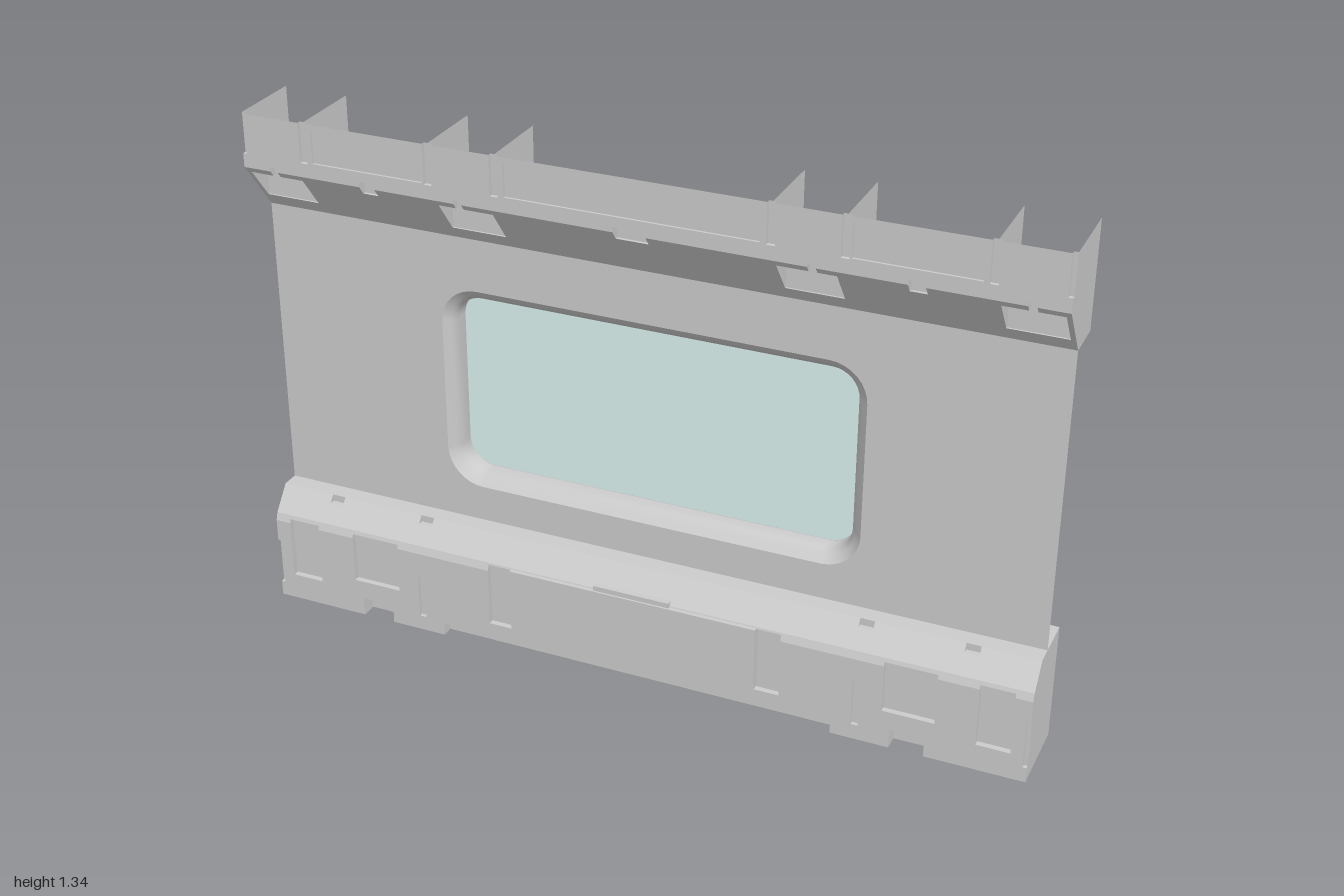
import * as THREE from 'three';

const grey = new THREE.MeshStandardMaterial({ color: 0xcccccc, side: THREE.DoubleSide });
const glassMat = new THREE.MeshStandardMaterial({ color: 0xdcf2ee, side: THREE.DoubleSide });

function add(parent, name, geometry, material = grey) {
  const mesh = new THREE.Mesh(geometry, material);
  mesh.name = name;
  parent.add(mesh);
  return mesh;
}

function fromTriangles(pos, index) {
  const g = new THREE.BufferGeometry();
  g.setAttribute('position', new THREE.Float32BufferAttribute(pos, 3));
  if (index) g.setIndex(index);
  g.computeVertexNormals();
  return g;
}

// Sheet following a [y, z] profile, with rectangular steps [x0, x1, y0, y1, z].
// Later steps override earlier ones; side walls join unequal neighbours.
function steppedSheet(profile, steps) {
  const sorted = (a) => [...new Set(a.map((v) => +v.toFixed(4)))].sort((p, q) => p - q);
  const xs = sorted([-1, 1, ...steps.flatMap((s) => [s[0], s[1]])]);
  const ys = sorted([...profile.map((p) => p[0]), ...steps.flatMap((s) => [s[2], s[3]])]);
  const base = (y) => {
    for (let i = 1; i < profile.length; i++) {
      const [y0, z0] = profile[i - 1], [y1, z1] = profile[i];
      if (y <= y1) return z0 + (z1 - z0) * (y - y0) / (y1 - y0);
    }
    return profile.at(-1)[1];
  };
  const depth = (i, j, y) => {
    const cx = (xs[i] + xs[i + 1]) / 2, cy = (ys[j] + ys[j + 1]) / 2;
    const s = steps.findLast((t) => cx > t[0] && cx < t[1] && cy > t[2] && cy < t[3]);
    return s ? s[4] : base(y);
  };
  const pos = [];
  const quad = (a, b, c, d) => pos.push(...a, ...b, ...c, ...a, ...c, ...d);
  for (let i = 0; i < xs.length - 1; i++) {
    for (let j = 0; j < ys.length - 1; j++) {
      const [x0, x1, y0, y1] = [xs[i], xs[i + 1], ys[j], ys[j + 1]];
      const lo = depth(i, j, y0), hi = depth(i, j, y1);
      quad([x0, y0, lo], [x1, y0, lo], [x1, y1, hi], [x0, y1, hi]);
      if (i < xs.length - 2) {
        const lo2 = depth(i + 1, j, y0), hi2 = depth(i + 1, j, y1);
        if (Math.abs(lo - lo2) + Math.abs(hi - hi2) > 1e-4)
          quad([x1, y0, lo], [x1, y0, lo2], [x1, y1, hi2], [x1, y1, hi]);
      }
      if (j < ys.length - 2) {
        const up = depth(i, j + 1, y1);
        if (Math.abs(up - hi) > 1e-4)
          quad([x0, y1, hi], [x1, y1, hi], [x1, y1, up], [x0, y1, up]);
      }
    }
  }
  return fromTriangles(pos);
}

// Steps given as centre x and half width, mirrored left and right
const mirrored = (cx, hw, y0, y1, z) =>
  [1, -1].map((s) => [s * cx - hw, s * cx + hw, y0, y1, z]);

// Thin plate across the wall from a [z, y] outline
function rib(parent, name, x, outline) {
  const shape = new THREE.Shape(outline.map(([z, y]) => new THREE.Vector2(-z, y)));
  const plate = add(parent, name, new THREE.ShapeGeometry(shape));
  plate.rotation.y = Math.PI / 2;
  plate.position.x = x;
}

function ledge(parent, name, y, z0, z1) {
  const g = new THREE.PlaneGeometry(2, z1 - z0).rotateX(-Math.PI / 2);
  add(parent, name, g.translate(0, y, (z0 + z1) / 2));
}

// Rounded rectangle around the window centre
const windowY = 0.667;
function ring(hw, hh, r, n = 8) {
  const pts = [];
  [[1, 1], [-1, 1], [-1, -1], [1, -1]].forEach(([sx, sy], c) => {
    for (let k = 0; k <= n; k++) {
      const a = (c + k / n) * Math.PI / 2;
      pts.push(new THREE.Vector2(sx * (hw - r) + r * Math.cos(a),
        windowY + sy * (hh - r) + r * Math.sin(a)));
    }
  });
  return pts;
}

// Band through rings [halfWidth, halfHeight, radius, z], smooth along the band
function loft(rings) {
  const pos = [], index = [];
  rings.forEach(([w, h, r, z], k) => {
    const pts = ring(w, h, r), n = pts.length;
    pts.forEach((p, i) => {
      pos.push(p.x, p.y, z);
      if (k) {
        const a = (k - 1) * n + i, b = (k - 1) * n + (i + 1) % n;
        index.push(a, b, b + n, a, b + n, a + n);
      }
    });
  });
  return fromTriangles(pos, index);
}

export function createModel() {
  const model = new THREE.Group();
  model.name = 'wallPanel';

  // Wall with window opening
  const wall = new THREE.Shape([[-1, 0.305], [1, 0.305], [1, 1.07], [-1, 1.07]]
    .map(([x, y]) => new THREE.Vector2(x, y)));
  const flare = [0.54, 0.268, 0.095, 0];
  const front = [0.512, 0.239, 0.068, -0.028];
  const mid = [0.512, 0.239, 0.068, -0.065];
  const step = [0.495, 0.221, 0.052, -0.065];
  const back = [0.495, 0.221, 0.052, -0.105];
  wall.holes.push(new THREE.Path(ring(...flare.slice(0, 3)).reverse()));
  add(model, 'wall', new THREE.ShapeGeometry(wall));

  // Window surround and glass
  const win = new THREE.Group();
  win.name = 'window';
  model.add(win);
  add(win, 'windowFlare', loft([flare, [0.524, 0.252, 0.08, -0.015], front, mid]));
  add(win, 'windowStep', loft([mid, step]));
  add(win, 'windowRim', loft([step, back]));
  const pane = new THREE.ShapeGeometry(new THREE.Shape(ring(0.51, 0.237, 0.066)));
  add(win, 'glass', pane.translate(0, 0, -0.063), glassMat);

  // Upper trough: upright front, slanted underside, pockets and slots
  const upper = new THREE.Group();
  upper.name = 'upperTrough';
  model.add(upper);
  add(upper, 'upperFront', steppedSheet([[1.07, 0], [1.2, 0.1], [1.335, 0.1]], [
    ...mirrored(0.918, 0.07, 1.105, 1.185, 0.022),
    ...mirrored(0.415, 0.07, 1.105, 1.185, 0.022),
    ...mirrored(0.918, 0.01, 1.185, 1.21, 0.08),
    ...mirrored(0.43, 0.01, 1.185, 1.21, 0.08),
    ...mirrored(0.667, 0.02, 1.178, 1.213, 0.075),
    [-0.04, 0.04, 1.178, 1.213, 0.075],
    ...mirrored(0.665, 0.145, 1.238, 1.322, 0.094),
    [-0.31, 0.31, 1.238, 1.322, 0.094],
    ...[0.335, 0.505, 0.833].flatMap((x) => mirrored(x, 0.01, 1.235, 1.335, 0.09)),
    ...mirrored(0.995, 0.005, 1.235, 1.335, 0.09),
  ]));
  ledge(upper, 'upperFloor', 1.07, -0.105, 0);
  const upperRib = [[0.1, 1.2], [0.1, 1.235], [0.09, 1.235], [0.09, 1.335],
    [-0.105, 1.335], [-0.105, 1.07], [0, 1.07]];

  // Lower trough: recessed panels, central cover, notches along the foot
  const lower = new THREE.Group();
  lower.name = 'lowerTrough';
  model.add(lower);
  add(lower, 'lowerFront', steppedSheet([[0, 0.1], [0.225, 0.1], [0.245, 0.093], [0.305, 0.045]], [
    ...mirrored(0.917, 0.042, 0.07, 0.235, 0.085),
    ...mirrored(0.71, 0.065, 0.1, 0.235, 0.085),
    ...mirrored(0.71, 0.043, 0, 0.05, 0.06),
    [-0.52, 0.52, 0, 0.035, 0.07],
    ...mirrored(0.58, 0.009, 0.04, 0.165, 0.09),
    ...mirrored(0.995, 0.005, 0.04, 0.165, 0.09),
    ...mirrored(0.84, 0.018, 0.287, 0.305, 0.045),
    ...mirrored(0.583, 0.018, 0.287, 0.305, 0.045),
    [-0.388, 0.388, 0.07, 0.24, 0.085],
    [-0.325, 0.325, 0.072, 0.242, 0.105],
    [-0.1, 0.1, 0.242, 0.255, 0.1],
  ]));
  ledge(lower, 'lowerTop', 0.305, -0.105, 0.045);
  const lowerRib = [[0.1, 0], [0.1, 0.04], [0.09, 0.04], [0.09, 0.165], [0.1, 0.165],
    [0.1, 0.225], [0.093, 0.245], [0.059, 0.287], [0.045, 0.287], [0.045, 0.305],
    [-0.105, 0.305], [-0.105, 0]];
  const lowerEnd = lowerRib.filter((p) => p[1] !== 0.287);

  // End plates and ribs, mirrored
  for (const s of [1, -1]) {
    for (const x of [1, 0.833, 0.505, 0.335]) rib(upper, 'upperRib', s * x, upperRib);
    rib(lower, 'lowerEndPlate', s, lowerEnd);
    for (const x of [0.84, 0.583]) rib(lower, 'lowerRib', s * x, lowerRib);
  }
  return model;
}
